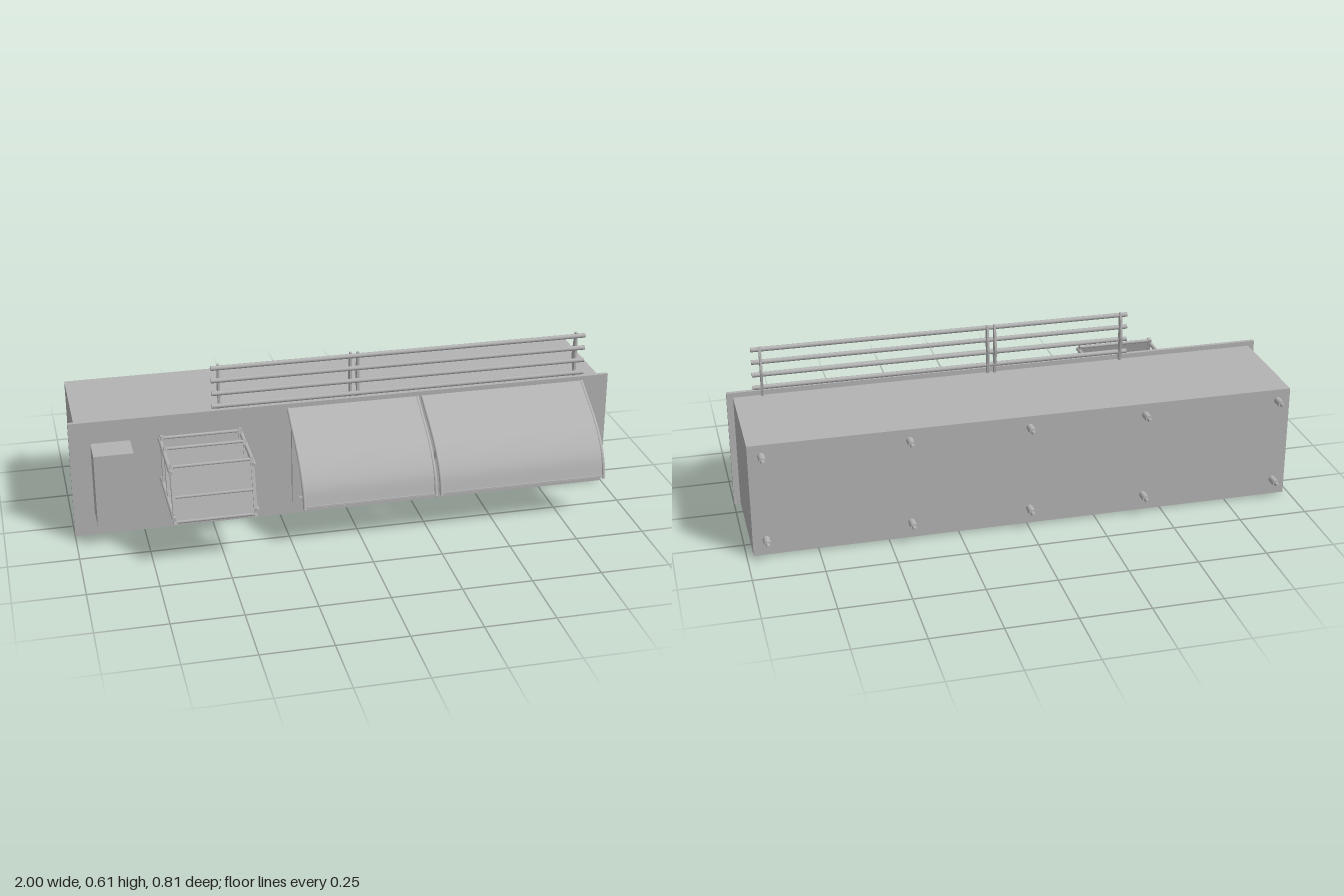
import * as THREE from 'three';

const paint = new THREE.MeshStandardMaterial({ color: 0xb3b3b3, side: THREE.DoubleSide });
paint.name = 'greyPaint';

function add(parent, name, geometry) {
  const m = new THREE.Mesh(geometry, paint);
  m.name = name;
  parent.add(m);
  return m;
}

// box given by its limits on each axis
function box(parent, name, x0, x1, y0, y1, z0, z1) {
  const m = add(parent, name, new THREE.BoxGeometry(x1 - x0, y1 - y0, z1 - z0));
  m.position.set((x0 + x1) / 2, (y0 + y1) / 2, (z0 + z1) / 2);
  return m;
}

// round bar between two points
function rod(parent, name, a, b, r, sides = 12) {
  const p = new THREE.Vector3(...a), q = new THREE.Vector3(...b);
  const m = add(parent, name, new THREE.CylinderGeometry(r, r, p.distanceTo(q), sides));
  m.position.copy(p).add(q).multiplyScalar(0.5);
  m.quaternion.setFromUnitVectors(new THREE.Vector3(0, 1, 0), q.sub(p).normalize());
  return m;
}

function roundedRect(path, x0, x1, y0, y1, r) {
  path.moveTo(x0 + r, y0);
  path.lineTo(x1 - r, y0);
  path.quadraticCurveTo(x1, y0, x1, y0 + r);
  path.lineTo(x1, y1 - r);
  path.quadraticCurveTo(x1, y1, x1 - r, y1);
  path.lineTo(x0 + r, y1);
  path.quadraticCurveTo(x0, y1, x0, y1 - r);
  path.lineTo(x0, y0 + r);
  path.quadraticCurveTo(x0, y0, x0 + r, y0);
  return path;
}

function group(parent, name) {
  const g = new THREE.Group();
  g.name = name;
  parent.add(g);
  return g;
}

// hollow body, open underneath
function buildBody(root) {
  const g = group(root, 'body');
  box(g, 'facade', -1, 1, 0, 0.443, 0.065, 0.079);
  box(g, 'roof', -0.977, 0.977, 0.405, 0.425, -0.345, 0.065);
  box(g, 'backWall', -0.977, 0.977, 0.006, 0.405, -0.345, -0.325);
  box(g, 'frontWall', -0.977, 0.977, 0.006, 0.405, 0.045, 0.065);
  for (const s of [-1, 1]) {
    const a = s * 0.977, b = s * 0.955;
    box(g, 'endWall', Math.min(a, b), Math.max(a, b), 0.006, 0.405, -0.325, 0.045);
  }
  // floor framing and the covered part of the floor
  box(g, 'crossBeam', 0.31, 0.35, 0.02, 0.12, -0.325, 0.045);
  box(g, 'crossBeam', -0.25, -0.21, 0.02, 0.12, -0.325, 0.045);
  for (const z of [-0.235, -0.14, -0.045])
    box(g, 'joist', -0.955, 0.955, 0.03, 0.13, z - 0.006, z + 0.006);
  box(g, 'floorPanel', -0.84, -0.22, 0.008, 0.02, -0.325, 0.045);
}

function buildWindow(root, x0, x1) {
  const g = group(root, 'window');
  const y0 = 0.05, y1 = 0.395;
  const shape = roundedRect(new THREE.Shape(), x0, x1, y0, y1, 0.008);
  shape.holes.push(roundedRect(new THREE.Path(), x0 + 0.018, x1 - 0.018, y0 + 0.014, y1 - 0.014, 0.03));
  const frame = add(g, 'windowFrame', new THREE.ExtrudeGeometry(shape, { depth: 0.016, bevelEnabled: false, curveSegments: 6 }));
  frame.position.z = 0.078;
  box(g, 'windowPane', x0 + 0.01, x1 - 0.01, y0 + 0.01, y1 - 0.01, 0.078, 0.083);
}

// curved sheet with a bent tube along each side
function buildAwning(root, x0, x1) {
  const g = group(root, 'awning');
  const profile = [[0.425, 0.072], [0.385, 0.14], [0.343, 0.215], [0.292, 0.283], [0.23, 0.333], [0.158, 0.355]];
  const at = x => new THREE.CatmullRomCurve3(profile.map(([y, z]) => new THREE.Vector3(x, y, z)));
  const left = at(x0), right = at(x1), n = 24;
  const sheet = new THREE.PlaneGeometry(1, 1, 1, n);
  const pos = sheet.attributes.position;
  for (let i = 0; i < pos.count; i++) {
    const p = (i % 2 ? right : left).getPoint(Math.floor(i / 2) / n);
    pos.setXYZ(i, p.x, p.y + 0.004, p.z + 0.002);
  }
  sheet.computeVertexNormals();
  add(g, 'awningSheet', sheet);
  for (const c of [left, right]) {
    add(g, 'awningTube', new THREE.TubeGeometry(c, n, 0.0065, 10));
    const end = c.getPoint(1);
    rod(g, 'tubeEnd', end.toArray(), [end.x, end.y - 0.002, end.z], 0.0065, 10);
  }
  rod(g, 'awningLowerBar', [x0, 0.165, 0.353], [x1, 0.165, 0.353], 0.004, 8);
}

// tilted panels carried on four horizontal bars
function buildRack(root) {
  const g = group(root, 'rack');
  const x0 = -0.68, x1 = -0.39;
  for (const x of [x0, x1]) {
    rod(g, 'upperArm', [x, 0.353, 0.079], [x, 0.353, 0.36], 0.0075);
    rod(g, 'lowerArm', [x, 0.2, 0.079], [x, 0.2, 0.408], 0.0075);
  }
  for (const [top, bottom] of [[0.1, 0.13], [0.19, 0.248], [0.337, 0.396]]) {
    const p = group(g, 'tiltedPanel');
    const height = Math.hypot(0.2, bottom - top);
    p.position.set((x0 + x1) / 2, 0.275, (top + bottom) / 2);
    p.rotation.x = -Math.atan2(bottom - top, 0.2);
    const w = 0.14, h = height / 2;
    for (const s of [-1, 1]) box(p, 'panelSide', s * w - 0.006, s * w + 0.006, -h, h, -0.009, 0.009);
    box(p, 'upperPlate', -w, w, -0.008, h - 0.006, -0.003, 0.003);
    box(p, 'lowerPlate', -w, w, -h + 0.006, -0.012, -0.003, 0.003);
    for (const y of [h - 0.008, -0.01, -h + 0.008])
      rod(p, 'panelRail', [-w, y, 0], [w, y, 0], 0.006, 8);
  }
}

// four rails on tapered plate posts
function buildRailing(root) {
  const g = group(root, 'railing');
  for (const y of [0.455, 0.504, 0.553, 0.601])
    rod(g, 'rail', [-0.488, y, 0.066], [0.905, y, 0.066], 0.0085);
  const outline = [[0.066, 0.42], [0.055, 0.42], [0.035, 0.52], [0.051, 0.612], [0.066, 0.612]];
  const shape = new THREE.Shape(outline.map(([z, y]) => new THREE.Vector2(-z, y)));
  const geo = new THREE.ExtrudeGeometry(shape, { depth: 0.008, bevelEnabled: false });
  geo.rotateY(Math.PI / 2);
  for (const x of [-0.46, 0.02, 0.047, 0.873])
    add(g, 'railPost', geo).position.x = x - 0.004;
}

// anchors standing out of the back wall
function buildAnchors(root) {
  const g = group(root, 'anchors');
  for (const x of [-0.93, -0.43, -0.007, 0.42, 0.93])
    for (const y of [0.066, 0.384]) {
      rod(g, 'anchorSleeve', [x, y, -0.34], [x, y, -0.387], 0.0125);
      rod(g, 'anchorPin', [x, y, -0.385], [x, y, -0.407], 0.0075);
    }
}

export function createModel() {
  const root = new THREE.Group();
  root.name = 'stall';
  buildBody(root);
  for (const [a, b] of [[-0.205, 0.018], [0.03, 0.24], [0.335, 0.545], [0.65, 0.86]]) buildWindow(root, a, b);
  buildAwning(root, -0.213, 0.265);
  buildAwning(root, 0.285, 0.897);
  box(root, 'wallUnit', -0.925, -0.785, 0.09, 0.36, 0.079, 0.188);
  buildRack(root);
  buildRailing(root);
  buildAnchors(root);
  return root;
}
